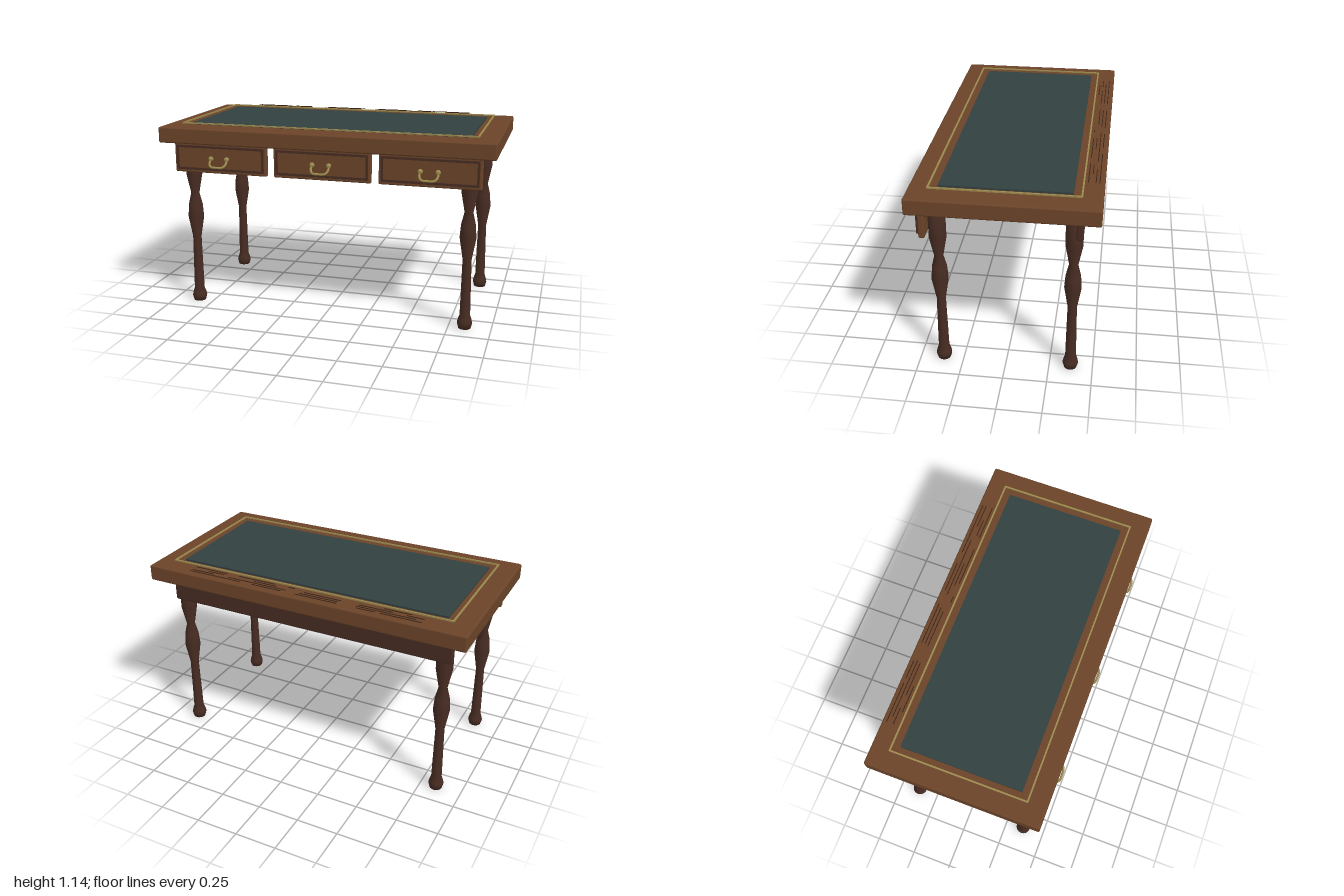
import * as THREE from 'three';
import { RoundedBoxGeometry } from 'three/addons/geometries/RoundedBoxGeometry.js';

const material = (name, color) => {
  const m = new THREE.MeshStandardMaterial({ color });
  m.name = name;
  return m;
};

export function createModel() {
  const wood = material('walnut', 0x6b4429);
  const darkWood = material('darkWalnut', 0x472c22);
  const leather = material('greenLeather', 0x334040);
  const brass = material('brass', 0x9c8a4e);
  const grainWood = material('grainBrown', 0x3a2416);

  const desk = new THREE.Group();
  desk.name = 'writingDesk';

  const add = (parent, name, geometry, mat, x = 0, y = 0, z = 0) => {
    const mesh = new THREE.Mesh(geometry, mat);
    mesh.name = name;
    mesh.position.set(x, y, z);
    parent.add(mesh);
    return mesh;
  };
  const box = (w, h, d) => new THREE.BoxGeometry(w, h, d);
  const rounded = (w, h, d, r) => new RoundedBoxGeometry(w, h, d, 2, r);

  // Tabletop and leather writing surface
  add(desk, 'tabletop', rounded(2, 0.095, 1.02, 0.01), wood, 0, 1.0775, -0.005);
  add(desk, 'leatherPad', box(1.69, 0.012, 0.71), leather, 0, 1.13, -0.005);

  // Brass inlay around the pad
  const inlay = new THREE.Group();
  inlay.name = 'brassInlay';
  desk.add(inlay);
  for (const s of [-1, 1]) {
    add(inlay, 'longInlay', box(1.78, 0.008, 0.009), brass, 0, 1.139, -0.005 + s * 0.4);
    add(inlay, 'shortInlay', box(0.009, 0.008, 0.8), brass, s * 0.886, 1.139, -0.005);
  }

  // Grain streaks along the back edge: [start x, end x] for each row
  const grain = new THREE.Group();
  grain.name = 'woodGrain';
  desk.add(grain);
  const rows = [
    [-0.487, [[-0.74, -0.5], [-0.47, -0.36], [-0.24, 0.02], [0.11, 0.3], [0.38, 0.72]]],
    [-0.467, [[-0.7, -0.35], [-0.24, 0], [0.09, 0.47], [0.57, 0.72]]],
    [-0.447, [[-0.74, -0.64], [-0.56, -0.36], [-0.25, -0.02], [0.16, 0.31], [0.51, 0.62]]],
    [-0.427, [[-0.66, -0.5], [0.05, 0.09], [0.18, 0.42], [0.5, 0.72]]],
  ];
  for (const [z, streaks] of rows) {
    for (const [a, b] of streaks) {
      add(grain, 'grainStreak', box(b - a, 0.003, 0.005), grainWood, (a + b) / 2, 1.136, z);
    }
  }

  // Turned legs
  const legProfile = [
    [0, 0], [0.037, 0], [0.045, 0.03], [0.041, 0.05], [0.031, 0.08], [0.026, 0.42],
    [0.048, 0.55], [0.042, 0.63], [0.025, 0.7], [0.048, 0.82], [0.048, 0.998], [0, 0.998],
  ].map(([r, y]) => new THREE.Vector2(r, y));
  const legGeometry = new THREE.LatheGeometry(legProfile, 16);
  for (const x of [-0.845, 0.845]) {
    add(desk, 'frontLeg', legGeometry, darkWood, x, 0, 0.365);
    add(desk, 'backLeg', legGeometry, darkWood, x, 0, -0.372);
  }

  // Back rail
  add(desk, 'backRail', rounded(1.8, 0.145, 0.037, 0.01), darkWood, 0, 0.953, -0.402);

  // Hanging handle curve between its two knobs
  const bail = new THREE.CatmullRomCurve3([
    [-0.05, 0.945, 0.47], [-0.052, 0.92, 0.49], [-0.038, 0.902, 0.507], [0, 0.899, 0.511],
    [0.038, 0.902, 0.507], [0.052, 0.92, 0.49], [0.05, 0.945, 0.47],
  ].map((p) => new THREE.Vector3(...p)));
  const bailGeometry = new THREE.TubeGeometry(bail, 24, 0.007, 8);
  const knobGeometry = new THREE.SphereGeometry(0.015, 12, 8);
  const postGeometry = new THREE.CylinderGeometry(0.006, 0.006, 0.03, 8).rotateX(Math.PI / 2);

  // Three drawers with dark moulding and handles
  for (const x of [-0.63, 0, 0.63]) {
    const drawer = new THREE.Group();
    drawer.name = 'drawer';
    drawer.position.x = x;
    desk.add(drawer);
    add(drawer, 'drawerFront', rounded(0.585, 0.185, 0.034, 0.008), wood, 0, 0.942, 0.435);
    for (const s of [-1, 1]) {
      add(drawer, 'longMoulding', box(0.555, 0.013, 0.009), darkWood, 0, 0.942 + s * 0.067, 0.46);
      add(drawer, 'sideMoulding', box(0.013, 0.147, 0.009), darkWood, s * 0.271, 0.942, 0.46);
      add(drawer, 'handlePost', postGeometry, brass, s * 0.05, 0.943, 0.46);
      add(drawer, 'handleKnob', knobGeometry, brass, s * 0.05, 0.943, 0.472);
    }
    add(drawer, 'handleBail', bailGeometry, brass);
  }

  return desk;
}
